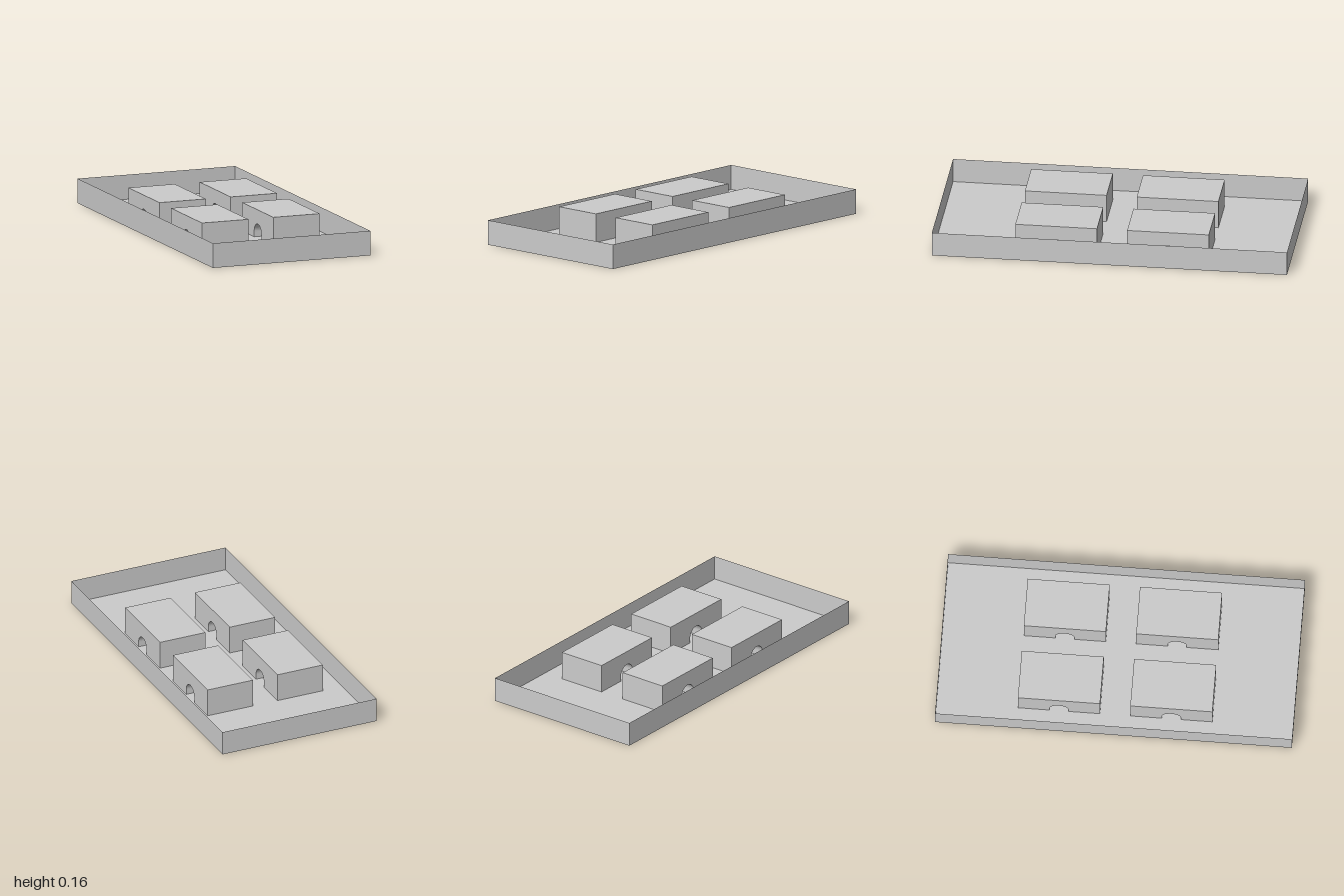
import * as THREE from 'three';

const W = 0.95, L = 2, H = 0.14; // tray
const BW = 0.28, BL = 0.46, BH = 0.163; // blocks
const R = 0.053, LEG = 0.03; // arched tunnel: radius and straight height

export function createModel() {
  const model = new THREE.Group();
  const solid = new THREE.MeshStandardMaterial({ color: 0xcccccc, flatShading: true });
  const sheet = new THREE.MeshStandardMaterial({ color: 0xcccccc, flatShading: true, side: THREE.DoubleSide });

  const add = (name, geometry, material, x, y, z, turn = 0) => {
    const mesh = new THREE.Mesh(geometry, material);
    mesh.name = name;
    mesh.position.set(x, y, z);
    mesh.rotation.y = turn;
    model.add(mesh);
  };

  // Open tray with thin walls
  add('trayFloor', new THREE.PlaneGeometry(W, L).rotateX(-Math.PI / 2), sheet, 0, 0, 0);
  for (const s of [1, -1]) {
    add(s > 0 ? 'frontWall' : 'backWall', new THREE.PlaneGeometry(W, H), sheet, 0, H / 2, s * L / 2, s > 0 ? 0 : Math.PI);
    add(s > 0 ? 'leftWall' : 'rightWall', new THREE.PlaneGeometry(L, H), sheet, s * W / 2, H / 2, 0, s * Math.PI / 2);
  }

  // Block side outline with an arched opening at its foot
  const side = new THREE.Shape();
  side.moveTo(R, 0);
  side.lineTo(BL / 2, 0);
  side.lineTo(BL / 2, BH);
  side.lineTo(-BL / 2, BH);
  side.lineTo(-BL / 2, 0);
  side.lineTo(-R, 0);
  side.lineTo(-R, LEG);
  side.absarc(0, LEG, R, Math.PI, 0, true);
  side.lineTo(R, 0);
  const block = new THREE.ExtrudeGeometry(side, { depth: BW, bevelEnabled: false, curveSegments: 12 });
  block.translate(0, 0, -BW / 2).rotateY(Math.PI / 2);

  // Four blocks, two by two
  for (const sx of [1, -1])
    for (const sz of [1, -1])
      add((sz > 0 ? 'front' : 'back') + (sx > 0 ? 'Left' : 'Right') + 'Block', block, solid, sx * 0.215, 0, sz * 0.315);

  return model;
}
